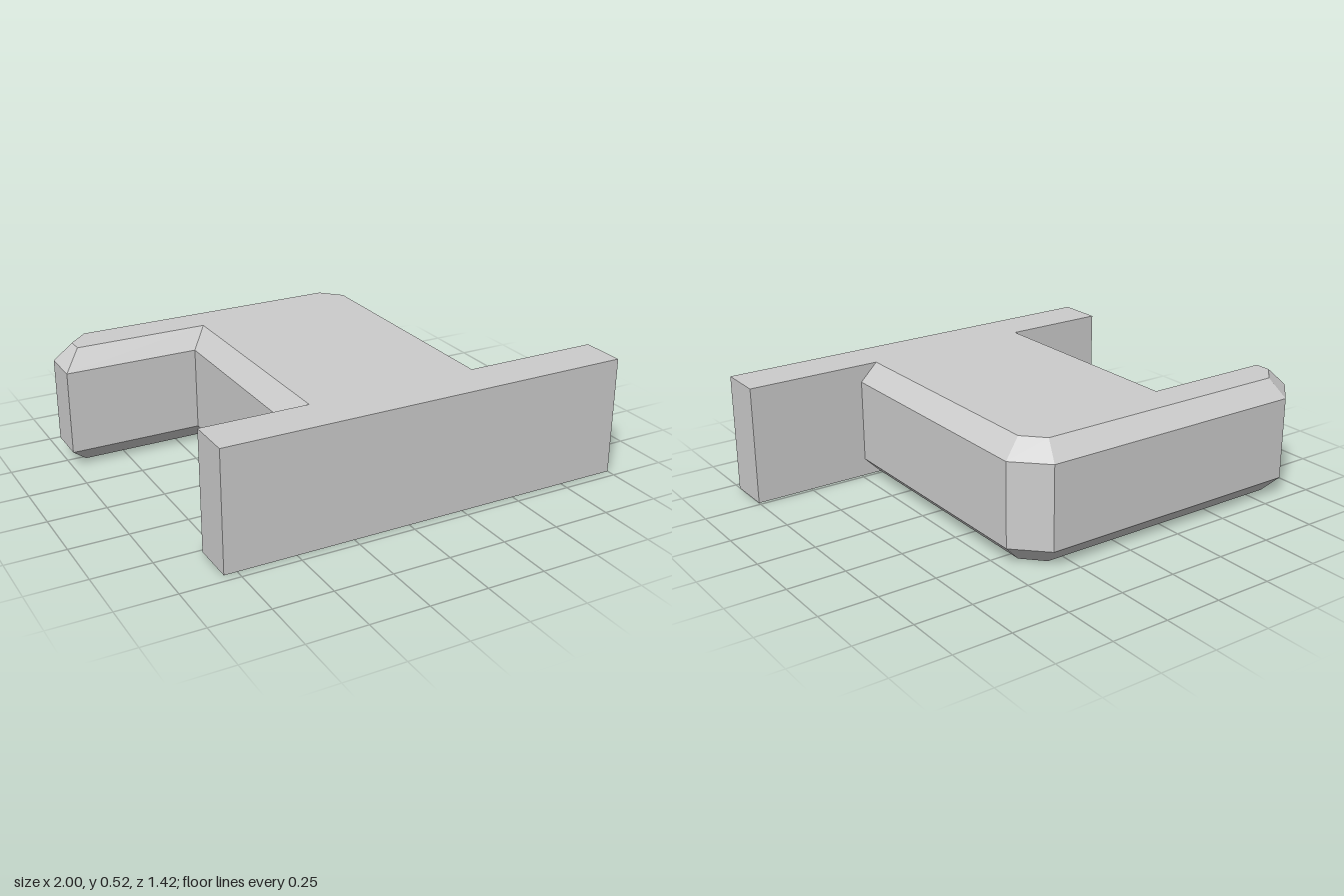
import * as THREE from 'three';

// Outer outline and the inset outline of its bevelled faces, as [x, z],
// counterclockwise from above; the first and last points meet the front plate.
const OUTER = [[0.48, 0.515], [0.48, -0.58], [0.35, -0.71], [-0.87, -0.71],
  [-1, -0.58], [-1, -0.405], [-0.42, -0.405], [-0.42, 0.515]];
const INSET = [[0.403, 0.515], [0.403, -0.55], [0.322, -0.635], [-0.84, -0.635],
  [-0.922, -0.552], [-0.922, -0.482], [-0.343, -0.482], [-0.343, 0.515]];
const HEIGHT = 0.517;
const BEVEL = 0.077;

function bevelledSlab() {
  const rings = [[INSET, 0], [OUTER, BEVEL], [OUTER, HEIGHT - BEVEL], [INSET, HEIGHT]]
    .map(([outline, y]) => outline.map(([x, z]) => [x, y, z]));
  const positions = [];
  const tri = (...corners) => corners.forEach((p) => positions.push(...p));

  // Bevels and walls, left open where the slab meets the plate
  for (let r = 0; r < 3; r++) {
    for (let i = 0; i < OUTER.length - 1; i++) {
      const a = rings[r][i], b = rings[r][i + 1];
      const c = rings[r + 1][i + 1], d = rings[r + 1][i];
      tri(a, b, c);
      tri(a, c, d);
    }
  }

  // Top and bottom faces
  const flat = INSET.map(([x, z]) => new THREE.Vector2(x, -z));
  for (const [i, j, k] of THREE.ShapeUtils.triangulateShape(flat, [])) {
    tri(rings[3][i], rings[3][j], rings[3][k]);
    tri(rings[0][i], rings[0][k], rings[0][j]);
  }

  const geometry = new THREE.BufferGeometry();
  geometry.setAttribute('position', new THREE.Float32BufferAttribute(positions, 3));
  geometry.computeVertexNormals();
  return geometry;
}

export function createModel() {
  const grey = new THREE.MeshStandardMaterial({ color: 0xcccccc });
  grey.name = 'light grey';

  const model = new THREE.Group();
  model.name = 'hookedBracket';

  // Body with the hook arm at the back
  const body = new THREE.Mesh(bevelledSlab(), grey);
  body.name = 'hookBody';
  model.add(body);

  // Wide plate across the front
  const plate = new THREE.Mesh(new THREE.BoxGeometry(1.805, HEIGHT, 0.195), grey);
  plate.name = 'frontPlate';
  plate.position.set(0.0975, HEIGHT / 2, 0.6125);
  model.add(plate);

  return model;
}
